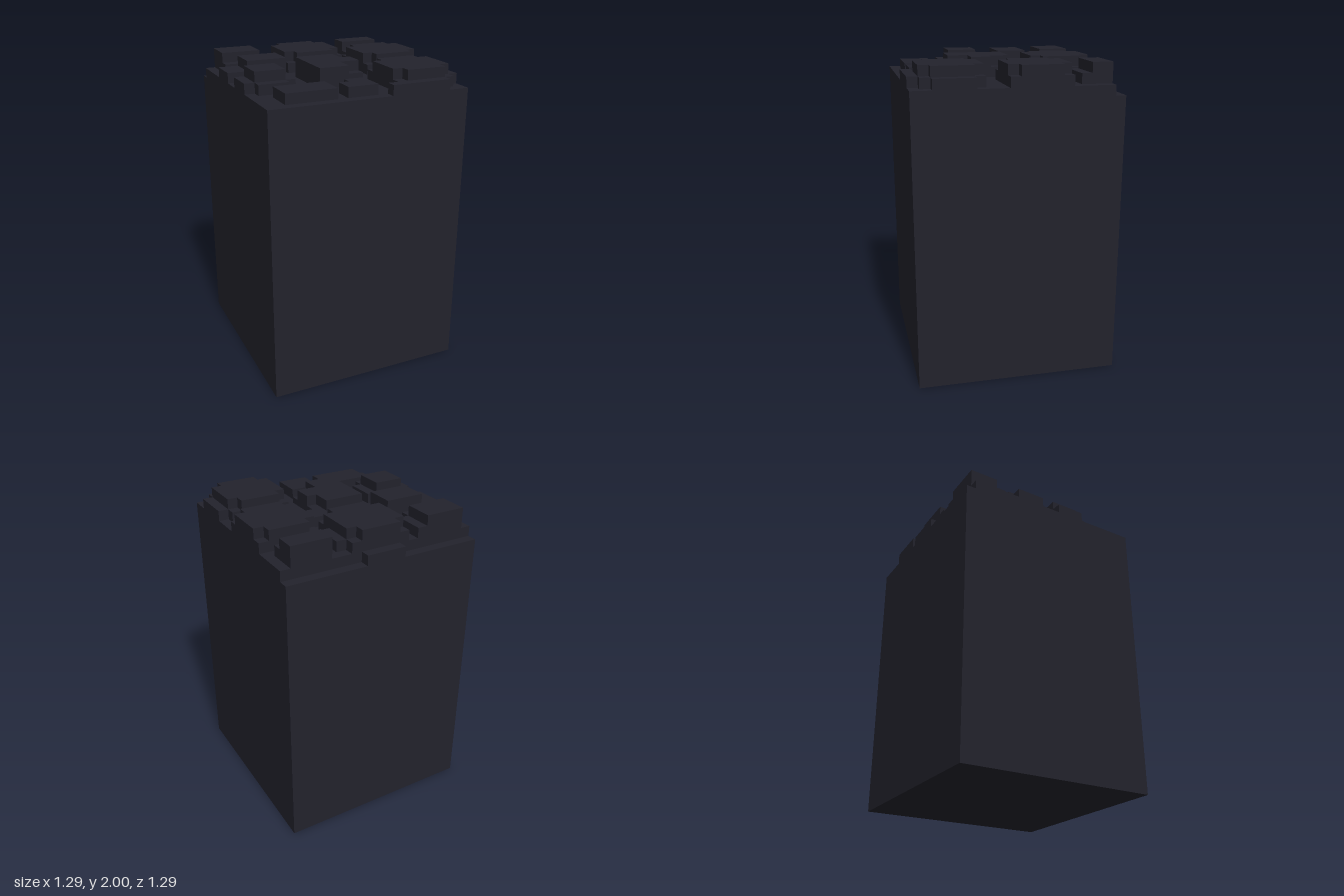
import * as THREE from 'three';

// One block unit: the model is 20 wide, 20 deep and 31 tall
const U = 2 / 31;

export function createModel() {
  const group = new THREE.Group();
  const rock = new THREE.MeshStandardMaterial({ color: 0x22222c });
  rock.name = 'dark stone';

  // Slab over cells x0..x1, z0..z1 between two levels; cut notches its four corners
  function slab(name, x0, x1, z0, z1, low, high, cut = 0) {
    const c = cut;
    const outline = c
      ? [[x0 + c, z0], [x1 - c, z0], [x1 - c, z0 + c], [x1, z0 + c], [x1, z1 - c], [x1 - c, z1 - c],
        [x1 - c, z1], [x0 + c, z1], [x0 + c, z1 - c], [x0, z1 - c], [x0, z0 + c], [x0 + c, z0 + c]]
      : [[x0, z0], [x1, z0], [x1, z1], [x0, z1]];
    const shape = new THREE.Shape(outline.map(([x, z]) => new THREE.Vector2((x - 10) * U, (10 - z) * U)));
    const geo = new THREE.ExtrudeGeometry(shape, { depth: (high - low) * U, bevelEnabled: false });
    geo.rotateX(-Math.PI / 2);
    geo.translate(0, low * U, 0);
    const mesh = new THREE.Mesh(geo, rock);
    mesh.name = name;
    group.add(mesh);
  }

  // Main pillar and its ground layer, lower along the back rim
  slab('pillar', 0, 20, 0, 20, 0, 28);
  slab('groundLayer', 0, 20, 1, 20, 28, 29);
  slab('backRim', 8, 12, 0, 1, 28, 29);

  // Middle layer: low cobbles and ledges around the tall ones
  const ledges = [
    [1, 6, 1, 4], [1, 5, 4, 5], [0, 6, 6, 9], [0, 5, 11, 14], [1, 4, 14, 15],
    [7, 13, 1, 7], [12, 14, 2, 5], [15, 19, 1, 4], [14, 20, 5, 11],
    [10, 13, 8, 10], [7, 12, 9, 14], [7, 10, 14, 15],
    [13, 19, 13, 19], [12, 18, 19, 20], [19, 20, 14, 18],
    [2, 7, 16, 19], [8, 11, 17, 19], [9, 11, 16, 17],
  ];
  ledges.forEach(([a, b, c, d]) => slab('ledge', a, b, c, d, 29, 30));

  // Top layer: tall cobbles, the larger ones with notched corners
  const cobbles = [
    [1, 5, 1, 4, 0], [7, 13, 1, 7, 1], [15, 19, 1, 3, 0], [14, 20, 5, 11, 1],
    [2, 6, 6, 9, 0], [1, 4, 11, 14, 0], [13, 19, 13, 19, 1],
    [7, 11, 9, 13, 0], [11, 12, 11, 13, 0], [7, 10, 13, 15, 0],
  ];
  cobbles.forEach(([a, b, c, d, cut]) => slab('cobble', a, b, c, d, 30, 31, cut));

  return group;
}
